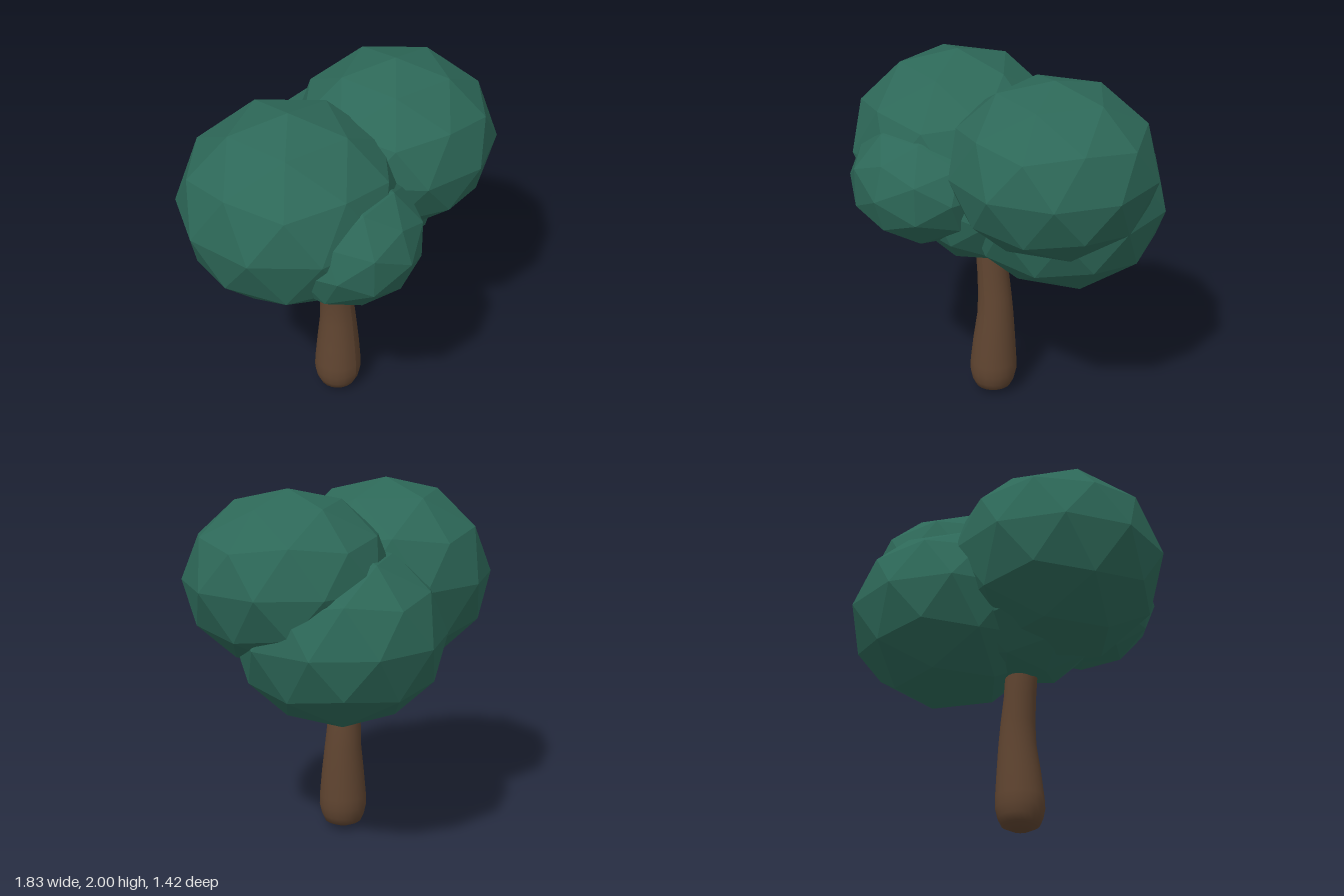
import * as THREE from 'three';

const leafGreen = new THREE.MeshStandardMaterial({ color: 0x2d6858 });
leafGreen.name = 'leafGreen';
const barkBrown = new THREE.MeshStandardMaterial({ color: 0x5f4430 });
barkBrown.name = 'barkBrown';

// tilt that stands the icosahedron on one of its corners
const POLE_UP = -Math.atan(2 / (1 + Math.sqrt(5)));

// faceted leaf clump: width radius r, height radius h
function clump(name, [x, y, z], r, h, tilt = POLE_UP) {
  const geo = new THREE.IcosahedronGeometry(1, 1);
  geo.rotateZ(tilt).scale(r, h, r);
  geo.computeVertexNormals(); // unshared corners give flat facets
  const mesh = new THREE.Mesh(geo, leafGreen);
  mesh.name = name;
  mesh.position.set(x, y, z);
  return mesh;
}

// smooth trunk: lathe profile, then bent along its height
function trunk() {
  const profile = [
    [0, 0.005], [0.05, 0.02], [0.102, 0.045], [0.121, 0.085], [0.133, 0.14], [0.131, 0.2],
    [0.119, 0.34], [0.102, 0.5], [0.094, 0.62], [0.088, 0.76], [0.088, 0.9], [0.08, 1.05], [0, 1.06],
  ].map(([r, y]) => new THREE.Vector2(r, y));
  const geo = new THREE.LatheGeometry(profile, 20);
  const p = geo.attributes.position;
  const bend = new THREE.CatmullRomCurve3([
    new THREE.Vector3(-0.057, 0, 0.055), new THREE.Vector3(-0.052, 0.27, 0.053),
    new THREE.Vector3(-0.045, 0.54, 0.046), new THREE.Vector3(-0.07, 0.81, 0.04),
    new THREE.Vector3(-0.09, 1.08, 0.04),
  ]);
  for (let i = 0; i < p.count; i++) {
    const c = bend.getPoint(p.getY(i) / 1.08);
    p.setX(i, p.getX(i) + c.x);
    p.setZ(i, p.getZ(i) + c.z);
  }
  geo.computeVertexNormals();
  const mesh = new THREE.Mesh(geo, barkBrown);
  mesh.name = 'trunk';
  return mesh;
}

export function createModel() {
  const tree = new THREE.Group();
  tree.name = 'tree';
  tree.add(
    trunk(),
    clump('rightClump', [-0.355, 1.45, -0.03], 0.592, 0.53),
    clump('leftTopClump', [0.38, 1.53, 0.1], 0.558, 0.47),
    clump('leftBackClump', [0.27, 1.242, -0.15], 0.565, 0.487),
    clump('frontClump', [-0.315, 1.355, 0.295], 0.415, 0.345, 0),
    clump('centreClump', [-0.12, 1.29, 0.01], 0.475, 0.445, 0.27),
  );
  return tree;
}
